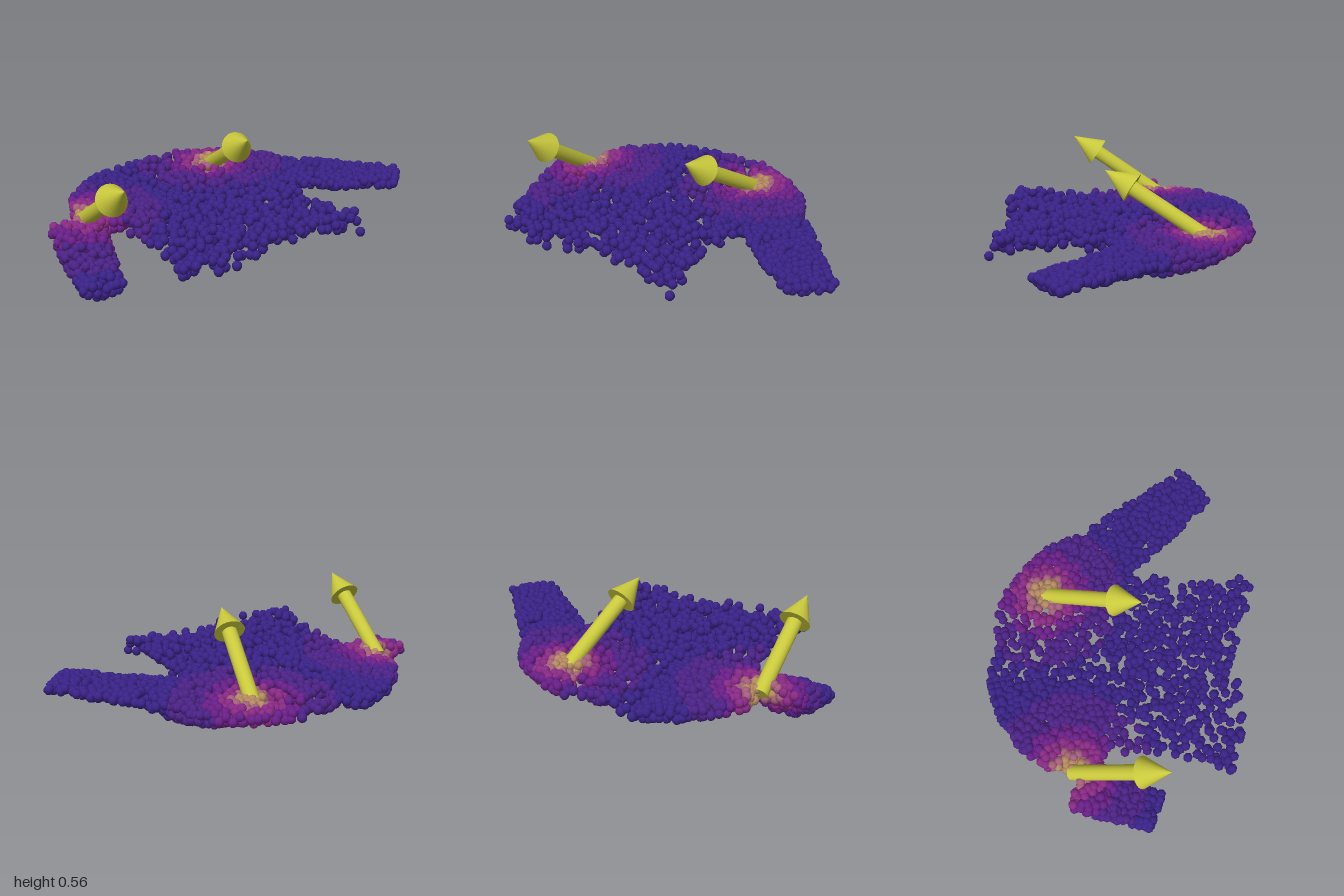
import * as THREE from 'three';
import { mergeGeometries } from 'three/addons/utils/BufferGeometryUtils.js';

const { lerp, smoothstep } = THREE.MathUtils;

// Seeded generator
let seed = 7;
function rand() {
  seed = (Math.imul(seed, 1664525) + 1013904223) >>> 0;
  return seed / 4294967296;
}

// Rounded upper edge of the garment, as depth behind z = 0
const dome = (x) =>
  0.645 * (1 - Math.min(1, Math.abs(x + 0.12) / 0.66) ** 2.5) ** 0.4 + 0.012 * Math.cos(14 * (x - 0.08));

// Placement rules return x, z and how far the two layers are open there (0 to 1)

// Slice of the upper body between two x positions, closing at the back edge
const slice = (x0, x1) => (u, v) => {
  const x = lerp(x0, x1, u);
  return { x, z: lerp(-0.02, -dome(x), v), open: Math.sqrt(1 - 0.8 * v ** 8) };
};

// Tapered tube from shoulder to cuff, closing along both seams
const strip = (x0, z0, x1, z1, w0, w1) => {
  const length = Math.hypot(x1 - x0, z1 - z0);
  const nx = (z1 - z0) / length, nz = (x0 - x1) / length;
  return (u, v) => {
    const s = 2 * u - 1, w = lerp(w0, w1, v) * s;
    return { x: lerp(x0, x1, v) + nx * w, z: lerp(z0, z1, v) + nz * w, open: Math.sqrt(1 - s ** 4) };
  };
};

// Body below the armpits, with a flared, wavy hem
function bodySheet(u, v) {
  const flare = 0.05 * smoothstep(v, 0.72, 0.95);
  const x = lerp(-0.63 - flare, 0.31 + flare, u);
  return { x, z: lerp(-0.03, 0.63 + 0.03 * Math.cos(8 * (x + 0.45)), v), open: 1 };
}

// Each panel: ball count, placement rule, lower and upper height of ball centres
const panels = [
  { name: 'lowerBody', count: 560, place: bodySheet,
    low: (x, z) => 0.215 - 0.04 * smoothstep(x, 0.22, 0.34) * smoothstep(z, 0.5, 0.62), high: () => 0.27 },
  { name: 'upperBody', count: 250, place: slice(-0.32, 0.12), low: () => 0.21, high: () => 0.272 },
  { name: 'rightShoulder', count: 460, place: slice(-0.75, -0.32), low: () => 0.19, high: () => 0.262 },
  { name: 'leftShoulder', count: 460, place: slice(0.12, 0.52),
    low: (x, z) => 0.205 - 0.04 * smoothstep(x, 0.15, 0.28) * smoothstep(z, -0.6, -0.2), high: () => 0.27 },
  { name: 'leftSleeve', count: 270, place: strip(0.44, -0.11, 0.89, 0.325, 0.17, 0.12),
    low: (x) => lerp(0.2, 0.232, smoothstep(x, 0.45, 0.95)), high: () => 0.262 },
  { name: 'rightSleeve', count: 290, place: strip(-0.81, -0.13, -0.885, 0.275, 0.13, 0.095),
    low: (x, z) => lerp(0.19, 0.055, smoothstep(z, -0.16, 0.02)) - 0.025 * smoothstep(z, 0.12, 0.28),
    high: (x, z) => lerp(0.26, 0.1, smoothstep(z, -0.1, 0.32)) },
];

// Ball colours by distance from the nearer arrow base
const shades = [
  { max: 0.075, color: 0xb58a62 },
  { max: 0.11, color: 0xa5607c },
  { max: 0.17, color: 0x8a2a86 },
  { max: 0.24, color: 0x6a1f8a },
  { max: 0.4, color: 0x4c2288 },
  { max: 9, color: 0x3a2288 },
];

const arrows = [
  { name: 'rightArrow', base: new THREE.Vector3(-0.76, 0.225, -0.17), tip: new THREE.Vector3(-0.785, 0.555, 0.32) },
  { name: 'leftArrow', base: new THREE.Vector3(0.165, 0.245, -0.41), tip: new THREE.Vector3(0.05, 0.558, 0.103) },
];

// Scatter ball centres over both wrinkled layers of a panel, keeping them apart
function scatter({ count, place, low, high }, taken) {
  const points = [];
  for (let tries = 0; tries < 9000 && points.length < count; tries++) {
    const { x, z, open } = place(rand(), rand());
    const layer = rand() < 0.5 ? 0.4 * rand() : 1 - 0.4 * rand();
    const wrinkle = 0.008 * Math.sin(17 * x + 5 * z) * Math.cos(13 * z - 4 * x);
    const y = lerp(low(x, z), high(x, z), 0.5 + (layer - 0.5) * open) + wrinkle;
    const p = new THREE.Vector3(x, y, z);
    if (taken.some((q) => q.distanceTo(p) < 0.024)) continue;
    points.push(p);
    taken.push(p);
  }
  return points;
}

function makePanel(panel, taken) {
  const group = new THREE.Group();
  group.name = panel.name;
  const ball = new THREE.SphereGeometry(0.025, 7, 5);
  const bins = shades.map(() => []);
  for (const p of scatter(panel, taken)) {
    const d = Math.min(...arrows.map((a) => a.base.distanceTo(p)));
    bins[shades.findIndex((s) => d < s.max)].push(ball.clone().translate(p.x, p.y, p.z));
  }
  bins.forEach((balls, i) => {
    if (!balls.length) return;
    const mesh = new THREE.Mesh(mergeGeometries(balls), new THREE.MeshStandardMaterial({ color: shades[i].color }));
    mesh.name = panel.name + 'Balls';
    group.add(mesh);
  });
  return group;
}

// Arrow with a round shaft and a cone head
function makeArrow({ name, base, tip }) {
  const group = new THREE.Group();
  group.name = name;
  const length = base.distanceTo(tip), headLength = 0.165;
  const material = new THREE.MeshStandardMaterial({ color: 0xc8c83c });
  const shaft = new THREE.Mesh(new THREE.CylinderGeometry(0.039, 0.039, length - headLength, 24), material);
  shaft.name = 'arrowShaft';
  shaft.position.y = (length - headLength) / 2;
  const head = new THREE.Mesh(new THREE.ConeGeometry(0.08, headLength, 24), material);
  head.name = 'arrowHead';
  head.position.y = length - headLength / 2;
  group.add(shaft, head);
  group.position.copy(base);
  group.quaternion.setFromUnitVectors(new THREE.Vector3(0, 1, 0), tip.clone().sub(base).normalize());
  return group;
}

export function createModel() {
  seed = 7;
  const model = new THREE.Group();
  model.name = 'ballGarmentWithArrows';
  const taken = [];
  for (const panel of panels) model.add(makePanel(panel, taken));
  for (const arrow of arrows) model.add(makeArrow(arrow));
  return model;
}
